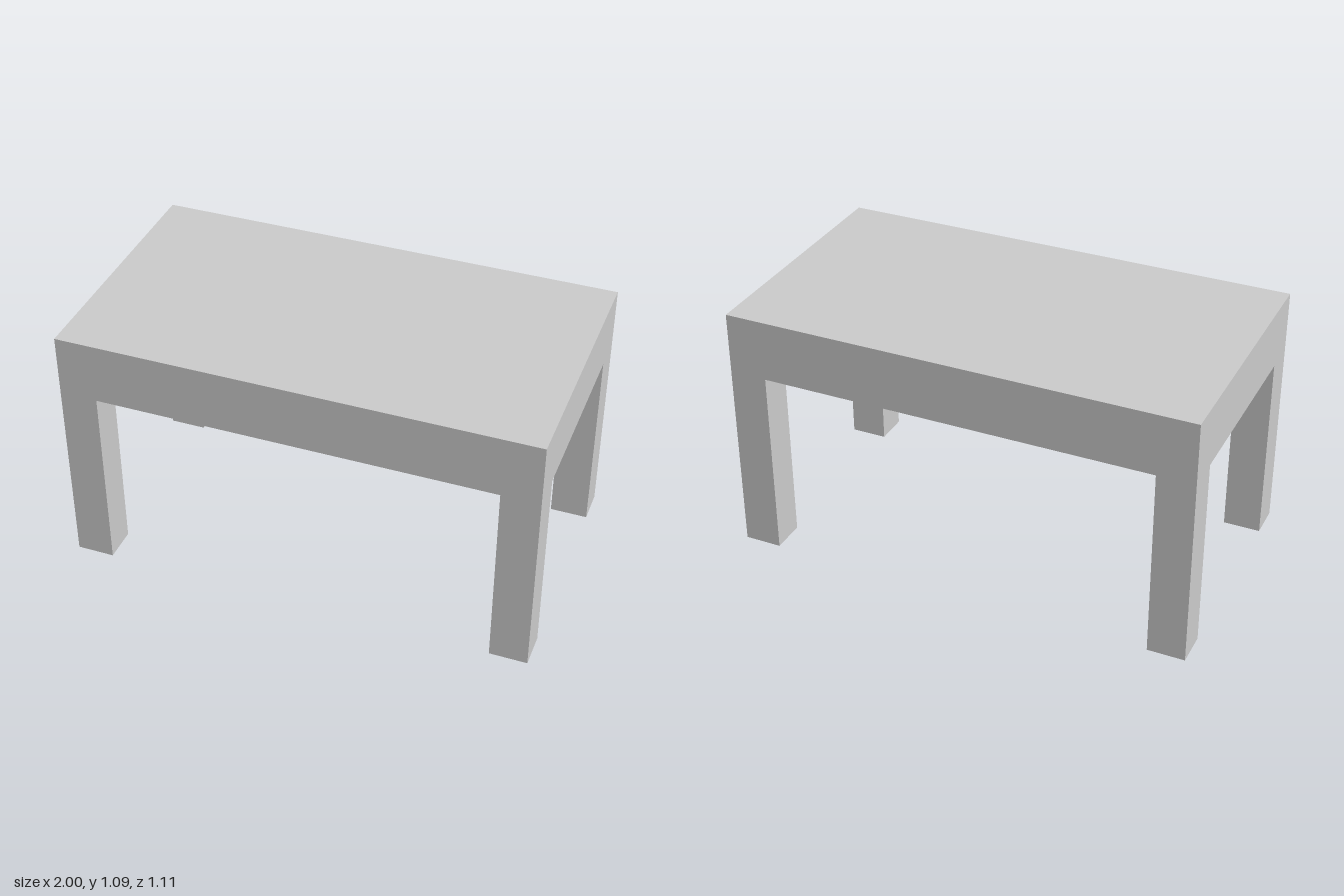
import * as THREE from 'three';

const WIDTH = 2, DEPTH = 1.105, HEIGHT = 1.09;
const LEG_H = 0.828, LEG_W = 0.16, LEG_D = 0.149;

export function createModel() {
  const table = new THREE.Group();
  table.name = 'table';
  const material = new THREE.MeshStandardMaterial({ color: 0xcccccc });

  // Thick solid top
  const topHeight = HEIGHT - LEG_H;
  const top = new THREE.Mesh(new THREE.BoxGeometry(WIDTH, topHeight, DEPTH), material);
  top.name = 'tableTop';
  top.position.y = LEG_H + topHeight / 2;
  table.add(top);

  // Four legs, flush with the corners of the top
  const legGeometry = new THREE.BoxGeometry(LEG_W, LEG_H, LEG_D);
  for (const [sideName, sx] of [['Left', 1], ['Right', -1]]) {
    for (const [endName, sz] of [['front', 1], ['back', -1]]) {
      const leg = new THREE.Mesh(legGeometry, material);
      leg.name = `${endName}${sideName}Leg`;
      leg.position.set(sx * (WIDTH - LEG_W) / 2, LEG_H / 2, sz * (DEPTH - LEG_D) / 2);
      table.add(leg);
    }
  }
  return table;
}
